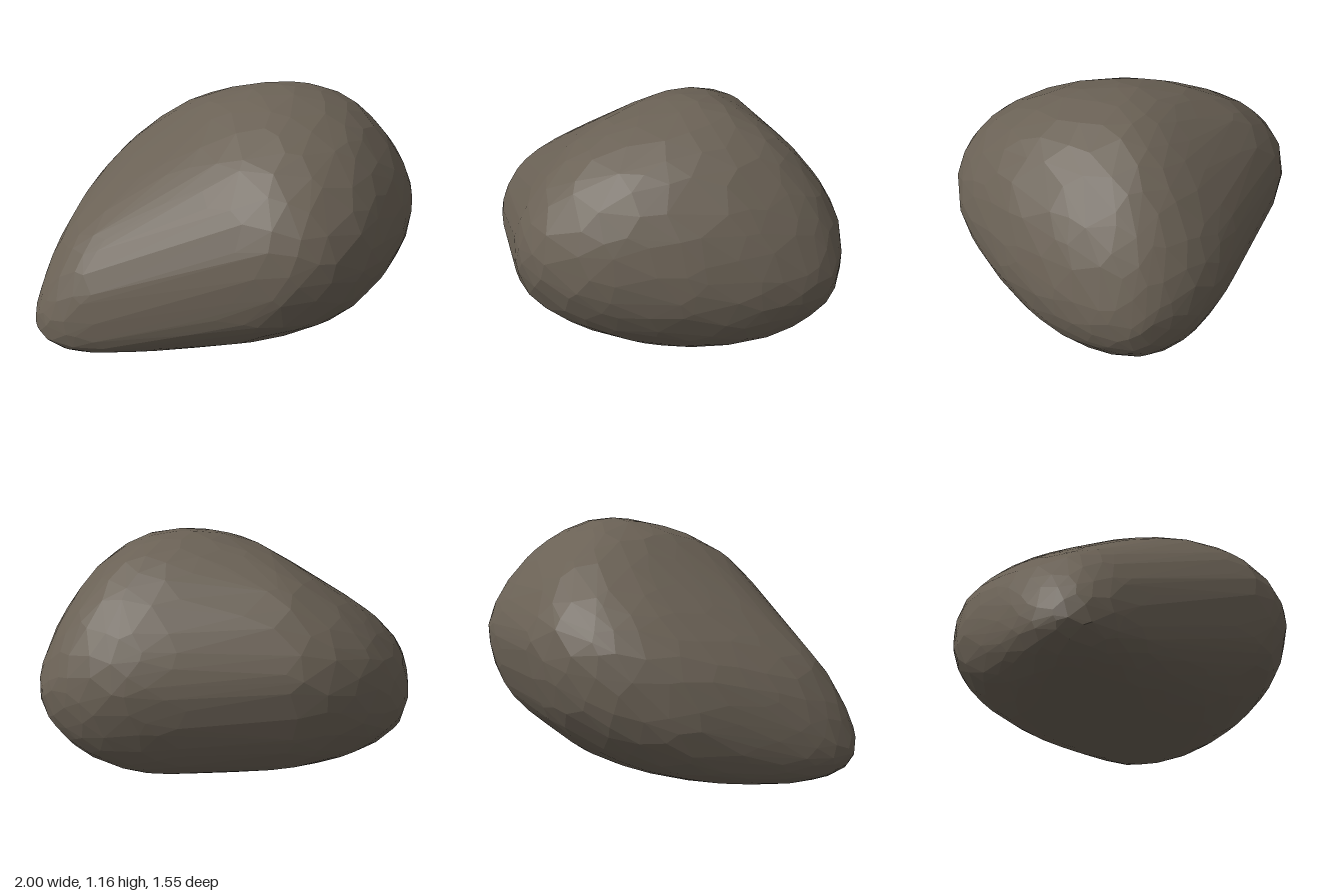
import * as THREE from 'three';
import { ConvexGeometry } from 'three/addons/geometries/ConvexGeometry.js';

// Cross-sections at x = -cos(k * PI / 10):
// [top y, bottom y, front z, back z, y of front bulge, y of back bulge, ridge z,
//  fullness of the upper front, fullness of the upper back]  (2 = elliptical)
const SECTIONS = [
  [0.20, 0.20, 0.08, 0.08, 0.20, 0.20, 0.08, 2, 2],
  [0.35, 0.11, 0.22, -0.07, 0.20, 0.22, 0.08, 2, 2.2],
  [0.56, 0.05, 0.33, -0.28, 0.21, 0.28, 0.04, 2.05, 2.3],
  [0.735, 0.02, 0.45, -0.56, 0.27, 0.40, -0.02, 2.1, 2.4],
  [0.925, 0.005, 0.61, -0.745, 0.40, 0.53, -0.06, 2.1, 2.25],
  [1.11, 0.005, 0.76, -0.775, 0.54, 0.61, -0.06, 2.05, 1.95],
  [1.165, 0.03, 0.73, -0.65, 0.58, 0.62, -0.06, 1.95, 1.6],
  [1.09, 0.085, 0.54, -0.55, 0.57, 0.60, -0.08, 1.85, 1.55],
  [0.90, 0.205, 0.31, -0.43, 0.54, 0.58, -0.10, 1.85, 1.75],
  [0.69, 0.37, 0.08, -0.26, 0.53, 0.55, -0.12, 1.95, 1.95],
  [0.52, 0.52, -0.12, -0.12, 0.52, 0.52, -0.12, 2, 2],
];

// Smooth interpolation of one section column at u in 0..1
function sample(col, u) {
  const last = SECTIONS.length - 1;
  const f = u * last;
  const i = Math.min(Math.floor(f), last - 1);
  const t = f - i;
  // the pinched ends mirror their slope so the tips stay round
  const at = (k) => {
    if (k < 0) return 2 * SECTIONS[0][col] - SECTIONS[1][col];
    if (k > last) return 2 * SECTIONS[last][col] - SECTIONS[last - 1][col];
    return SECTIONS[k][col];
  };
  const [a, b, c, d] = [at(i - 1), at(i), at(i + 1), at(i + 2)];
  return b + 0.5 * t * (c - a + t * (2 * a - 5 * b + 4 * c - d + t * (3 * (b - c) + d - a)));
}

// Moves a point of the unit sphere onto the stone
function toStone(p) {
  const x = THREE.MathUtils.clamp(p.x, -1, 1);
  const u = Math.acos(-x) / Math.PI;
  const [top, bottom, front, back, yFront, yBack, ridge, fullFront, fullBack] =
    SECTIONS[0].map((_, col) => sample(col, u));
  const r = Math.hypot(p.y, p.z) || 1;
  const c = p.z / r;
  const s = p.y / r;
  const bulge = c > 0 ? yFront : yBack;
  const power = s < 0 ? 1 : 2 / (c > 0 ? fullFront : fullBack);
  const across = Math.sign(c) * Math.abs(c) ** power;
  const up = Math.sign(s) * Math.abs(s) ** power;
  // gentle swellings
  const bump = 1 + 0.008 * Math.sin(7 * p.x + 4 * p.y) * Math.sin(6 * p.z + 5 * p.y + 1);
  const z = ridge + across * (c > 0 ? front - ridge : ridge - back) * bump;
  const y = bulge + up * (s > 0 ? (top - bulge) * bump : bulge - bottom);
  return new THREE.Vector3(x, y, z);
}

export function createModel() {
  let seed = 7;
  const rand = () => (seed = (seed * 16807) % 2147483647) / 2147483647 - 0.5;

  // Uneven scatter of points over the surface gives irregular facets
  const points = [new THREE.Vector3(-1, 0, 0), new THREE.Vector3(1, 0, 0)].map(toStone);
  const count = 600;
  for (let i = 0; i < count; i++) {
    const x = 1 - (2 * (i + 0.5)) / count;
    const a = i * 2.399963;
    const r = Math.sqrt(1 - x * x);
    const p = new THREE.Vector3(x, r * Math.cos(a), r * Math.sin(a));
    p.add(new THREE.Vector3(rand(), rand(), rand()).multiplyScalar(0.1)).normalize();
    points.push(toStone(p));
  }

  const stone = new THREE.Mesh(
    new ConvexGeometry(points),
    new THREE.MeshStandardMaterial({ color: 0x6a6155, flatShading: true })
  );
  stone.name = 'boulder';

  const group = new THREE.Group();
  group.name = 'rock';
  group.add(stone);
  return group;
}
